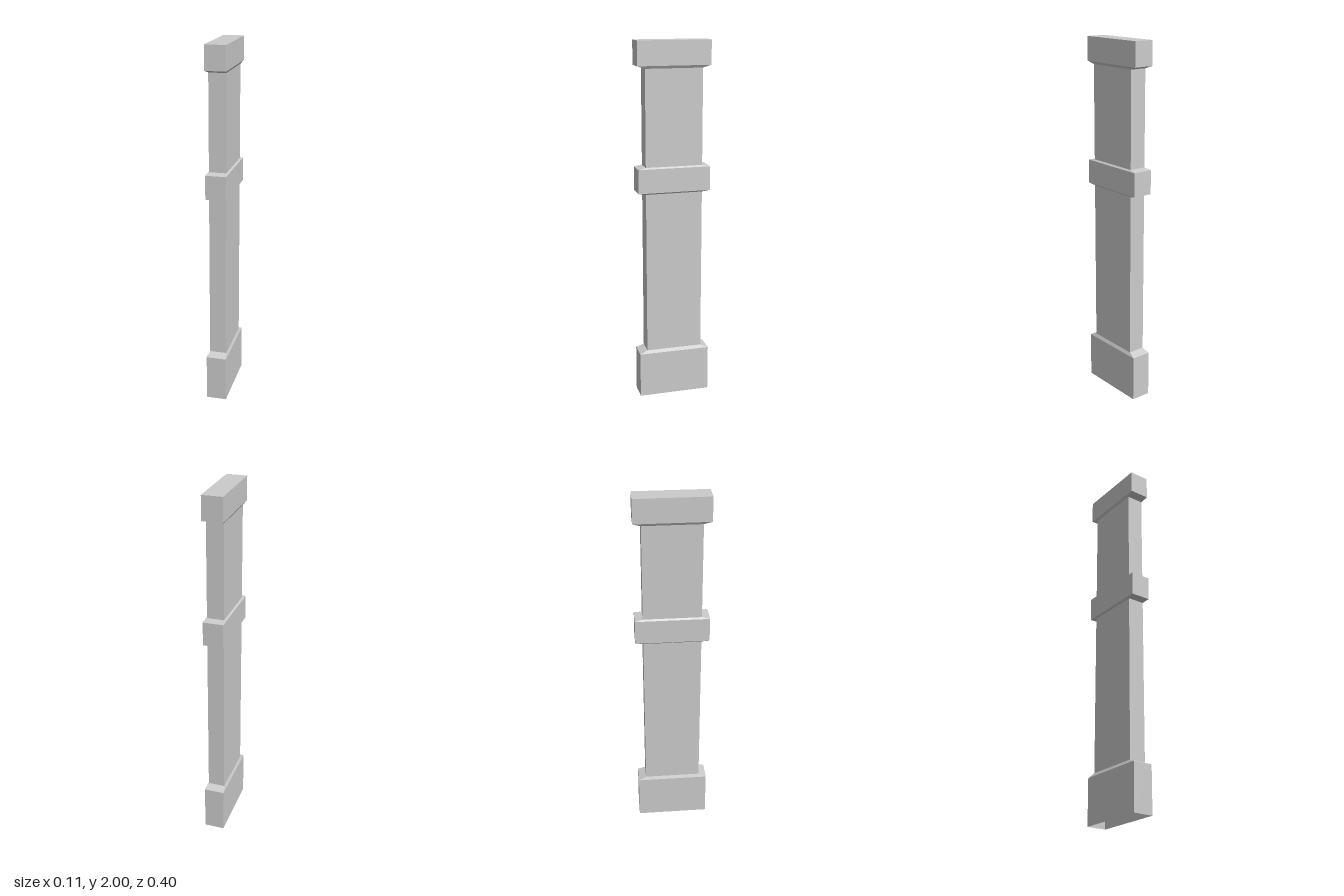
import * as THREE from 'three';

// Half sizes [x, z] of the two rectangular sections
const WIDE = [0.056, 0.2];
const SLIM = [0.047, 0.157];

// Four-sided loft through rings [y, [halfX, halfZ]], open below, optionally closed on top
function loft(rings, capTop) {
  const pos = [];
  const corners = ([y, [x, z]]) => [[x, y, z], [x, y, -z], [-x, y, -z], [-x, y, z]];
  const quad = (a, b, c, d) => pos.push(...a, ...b, ...c, ...a, ...c, ...d);
  for (let i = 0; i < rings.length - 1; i++) {
    const lo = corners(rings[i]);
    const hi = corners(rings[i + 1]);
    for (let k = 0; k < 4; k++) {
      const n = (k + 1) % 4;
      quad(lo[k], lo[n], hi[n], hi[k]);
    }
  }
  if (capTop) quad(...corners(rings[rings.length - 1]));
  const geometry = new THREE.BufferGeometry();
  geometry.setAttribute('position', new THREE.Float32BufferAttribute(pos, 3));
  geometry.computeVertexNormals();
  return geometry;
}

export function createModel() {
  const group = new THREE.Group();
  group.name = 'pilaster';
  const material = new THREE.MeshStandardMaterial({
    color: 0xcccccc, flatShading: true, side: THREE.DoubleSide,
  });

  const parts = {
    // hollow plinth with a sloped shoulder
    base: [[0, WIDE], [0.258, WIDE], [0.276, SLIM]],
    lowerShaft: [[0.276, SLIM], [1.187, SLIM]],
    // collar with a small slope above and below
    middleBand: [[1.187, SLIM], [1.195, WIDE], [1.327, WIDE], [1.335, SLIM]],
    upperShaft: [[1.335, SLIM], [1.856, SLIM]],
    // head block, sloped underneath and flat on top
    cap: [[1.856, SLIM], [1.87, WIDE], [2, WIDE]],
  };

  for (const [name, rings] of Object.entries(parts)) {
    const mesh = new THREE.Mesh(loft(rings, name === 'cap'), material);
    mesh.name = name;
    group.add(mesh);
  }
  return group;
}
